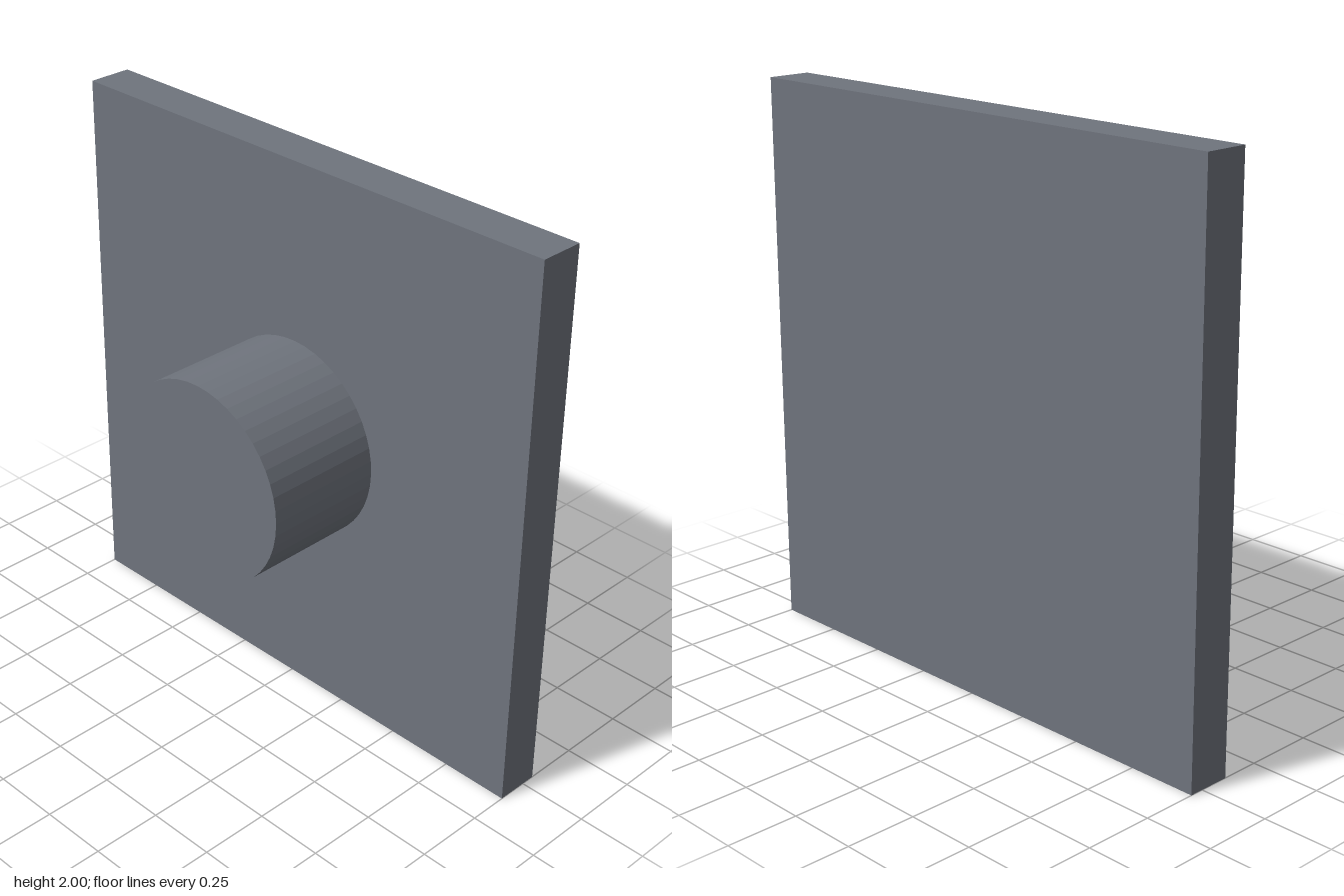
import * as THREE from 'three';

export function createModel() {
  const group = new THREE.Group();
  const material = new THREE.MeshStandardMaterial({ color: 0x6f747d, flatShading: true });

  const backZ = -0.3, plateFrontZ = -0.14, frontZ = 0.3, centreY = 1;

  // Square back plate
  const plateDepth = plateFrontZ - backZ;
  const plate = new THREE.Mesh(new THREE.BoxGeometry(2, 2, plateDepth), material);
  plate.name = 'backPlate';
  plate.position.set(0, centreY, backZ + plateDepth / 2);
  group.add(plate);

  // Round boss standing out from the plate
  const bossDepth = frontZ - plateFrontZ;
  const boss = new THREE.Mesh(new THREE.CylinderGeometry(0.36, 0.36, bossDepth, 48), material);
  boss.name = 'roundBoss';
  boss.rotation.x = Math.PI / 2;
  boss.position.set(0, centreY, plateFrontZ + bossDepth / 2);
  group.add(boss);

  return group;
}
